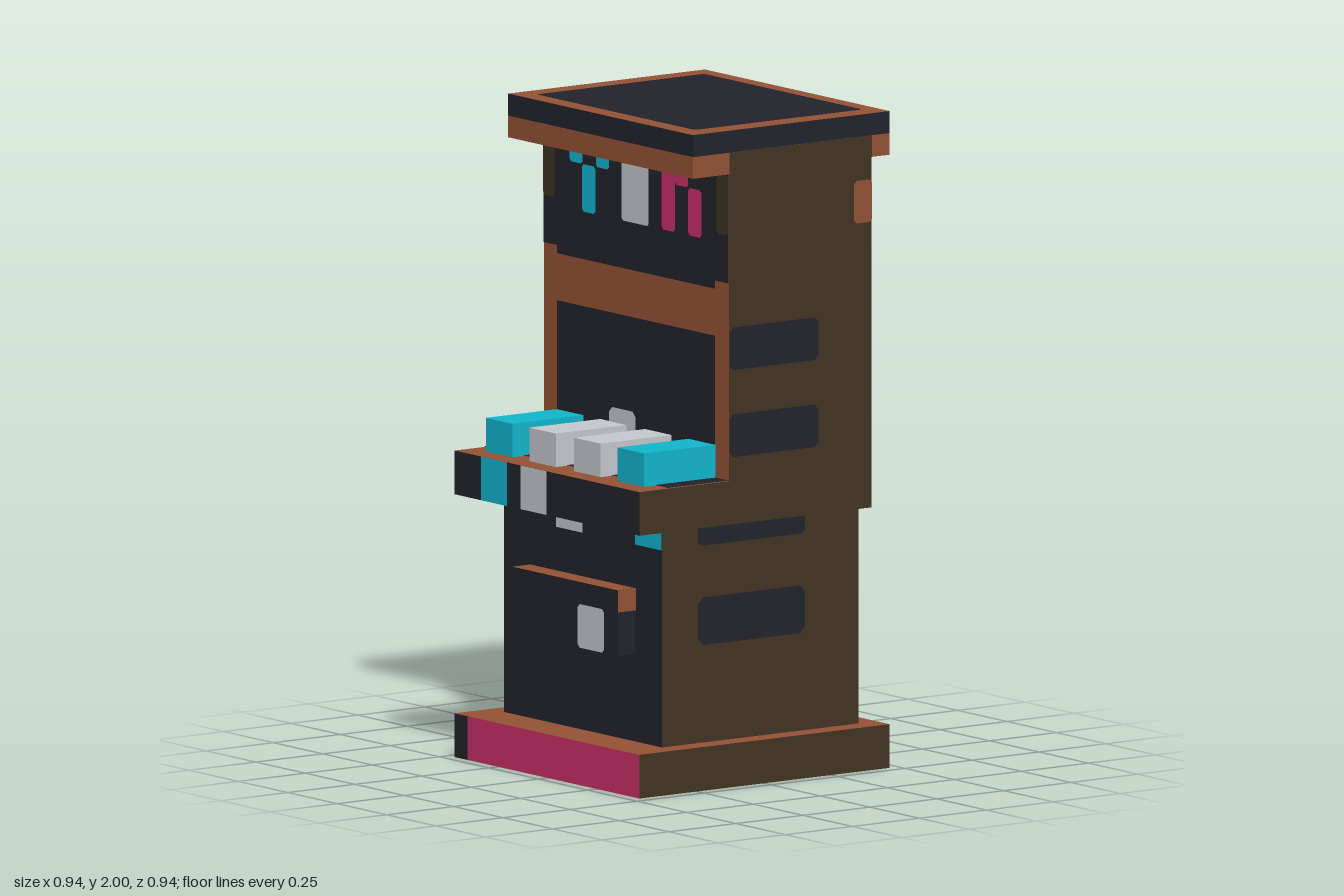
import * as THREE from 'three';

const mat = (name, color) => new THREE.MeshStandardMaterial({ name, color });

export function createModel() {
  const dark = mat('charcoal', 0x22222c);
  const copper = mat('copper', 0x935235);
  const olive = mat('darkOlive', 0x403322);
  const pink = mat('pink', 0xc92e66);
  const cyan = mat('cyan', 0x11b5cc);
  const grey = mat('lightGrey', 0xc3c6cb);

  const model = new THREE.Group();
  model.name = 'arcadeCabinet';

  // Box from its bounds; faces is one material or [+x, -x, +y, -y, +z, -z]
  function box(name, faces, [x0, x1], [y0, y1], [z0, z1]) {
    const mesh = new THREE.Mesh(new THREE.BoxGeometry(x1 - x0, y1 - y0, z1 - z0), faces);
    mesh.position.set((x0 + x1) / 2, (y0 + y1) / 2, (z0 + z1) / 2);
    mesh.name = name;
    model.add(mesh);
  }

  // Painted panel lying just proud of a face, with optional cut corners.
  // u, v are: front/back x,y - left/right z,y - top/bottom x,z
  function panel(name, material, side, at, [u0, u1], [v0, v1], cut = 0, lift = 0.002) {
    const w = (u1 - u0) / 2, h = (v1 - v0) / 2, c = cut;
    const pts = c
      ? [[-w + c, -h], [w - c, -h], [w, -h + c], [w, h - c], [w - c, h], [-w + c, h], [-w, h - c], [-w, -h + c]]
      : [[-w, -h], [w, -h], [w, h], [-w, h]];
    const shape = new THREE.Shape(pts.map(([x, y]) => new THREE.Vector2(x, y)));
    const mesh = new THREE.Mesh(new THREE.ShapeGeometry(shape), material);
    const u = (u0 + u1) / 2, v = (v0 + v1) / 2;
    if (side === 'front') mesh.position.set(u, v, at + lift);
    if (side === 'back') { mesh.position.set(u, v, at - lift); mesh.rotation.y = Math.PI; }
    if (side === 'left') { mesh.position.set(at + lift, v, u); mesh.rotation.y = Math.PI / 2; }
    if (side === 'right') { mesh.position.set(at - lift, v, u); mesh.rotation.y = -Math.PI / 2; }
    if (side === 'top') { mesh.position.set(u, at + lift, v); mesh.rotation.x = -Math.PI / 2; }
    if (side === 'bottom') { mesh.position.set(u, at - lift, v); mesh.rotation.x = Math.PI / 2; }
    mesh.name = name;
    model.add(mesh);
  }

  const W = 0.467, N = 0.4;
  const wide = [-W, W], narrow = [-N, N];

  // Base plinth
  box('base', [olive, olive, copper, olive, pink, olive], wide, [0, 0.133], wide);
  panel('baseFrontEnd', dark, 'front', W, [-W, -N], [0, 0.133], 0, 0.001);
  panel('baseRearTrim', copper, 'bottom', 0, wide, [-W, -0.43], 0, 0.0005);

  // Lower and upper cabinet
  box('lowerCabinet', [olive, olive, olive, olive, dark, olive], narrow, [0.133, 0.8], [-N, 0.333]);
  box('upperCabinet', [olive, olive, olive, olive, copper, olive], wide, [0.8, 1.867], [-N, 0.133]);

  // Control deck with buttons
  box('controlDeck', [olive, olive, copper, olive, dark, olive], wide, [0.8, 0.933], [0.133, W]);
  panel('deckInlay', dark, 'top', 0.933, wide, [0.133, 0.36]);
  [[-0.333, cyan], [-0.113, grey], [0.113, grey], [0.333, cyan]].forEach(([x, m]) =>
    box('controlButton', m, [x - 0.067, x + 0.067], [0.933, 1.035], [0.133, 0.4]));
  panel('deckMark', cyan, 'front', W, [-0.333, -0.2], [0.8, 0.933], 0, 0.001);
  panel('deckMark', grey, 'front', W, [-0.133, 0], [0.8, 0.933], 0, 0.001);
  panel('lowerMark', grey, 'front', 0.333, [-0.133, 0], [0.733, 0.8]);
  panel('lowerMark', cyan, 'front', 0.333, [0.267, N], [0.733, 0.8]);

  // Coin door
  box('coinDoor', [dark, dark, copper, dark, dark, dark], [-0.267, 0.267], [0.4, 0.6], [0.333, 0.4]);
  for (const s of [-1, 1])
    panel('coinDoorEdge', copper, s > 0 ? 'left' : 'right', s * 0.267, [0.333, 0.4], [0.533, 0.6]);
  panel('coinSlot', grey, 'front', 0.4, [0.067, 0.2], [0.4, 0.533], 0.01);

  // Screen and sign panel
  panel('screen', dark, 'front', 0.133, narrow, [0.933, 1.367]);
  panel('screenMark', grey, 'front', 0.133, [-0.133, 0], [0.933, 1.08], 0.015, 0.004);
  panel('signPanel', dark, 'front', 0.133, narrow, [1.51, 1.867]);
  for (const s of [-1, 1]) {
    const ends = (a, b) => (s > 0 ? [a, b] : [-b, -a]);
    panel('signEnd', dark, 'front', 0.133, ends(N, W), [1.535, 1.867]);
    panel('signCorner', olive, 'front', 0.133, ends(0.41, W), [1.68, 1.867], 0.01, 0.004);
  }
  // Coloured blocks on the sign
  [
    [cyan, -0.333, -0.267, 1.8, 1.867], [cyan, -0.2, -0.133, 1.8, 1.867], [cyan, -0.27, -0.203, 1.655, 1.8],
    [grey, -0.07, 0.067, 1.655, 1.867],
    [pink, 0.133, 0.2, 1.655, 1.867], [pink, 0.2, 0.267, 1.8, 1.867], [pink, 0.267, 0.333, 1.655, 1.8],
  ].forEach(([m, x0, x1, y0, y1]) => panel('signBlock', m, 'front', 0.133, [x0, x1], [y0, y1], 0.008, 0.004));

  // Side vents, rear corner accents and rear edge strips
  for (const s of [-1, 1]) {
    const side = s > 0 ? 'left' : 'right';
    panel('upperVent', dark, side, s * W, [-0.2, 0.133], [1.27, 1.4], 0.015);
    panel('upperVent', dark, side, s * W, [-0.2, 0.133], [1.005, 1.135], 0.015);
    panel('lowerVent', dark, side, s * N, [-0.2, 0.2], [0.43, 0.575], 0.02);
    panel('lowerVent', dark, side, s * N, [-0.2, 0.2], [0.733, 0.8], 0.012);
    panel('rearAccent', copper, side, s * W, [-N, -0.333], [1.67, 1.8], 0.01);
    panel('rearEdgeStrip', dark, 'back', -N, s > 0 ? [N, W] : [-W, -N], [0.933, 1.867]);
  }

  // Roof: copper band under a dark cap with a framed top
  box('roofBand', [copper, copper, copper, copper, copper, copper], wide, [1.867, 1.933], [-W, 0.267]);
  panel('roofBandSide', olive, 'left', W, [-N, 0.133], [1.867, 1.933]);
  panel('roofFrontUnderside', dark, 'bottom', 1.867, wide, [0.133, 0.267]);
  box('roofCap', [dark, dark, copper, dark, dark, dark], wide, [1.933, 2], [-W, 0.267]);
  panel('roofInlay', dark, 'top', 2, narrow, [-0.415, 0.21], 0.008, 0.001);

  return model;
}
